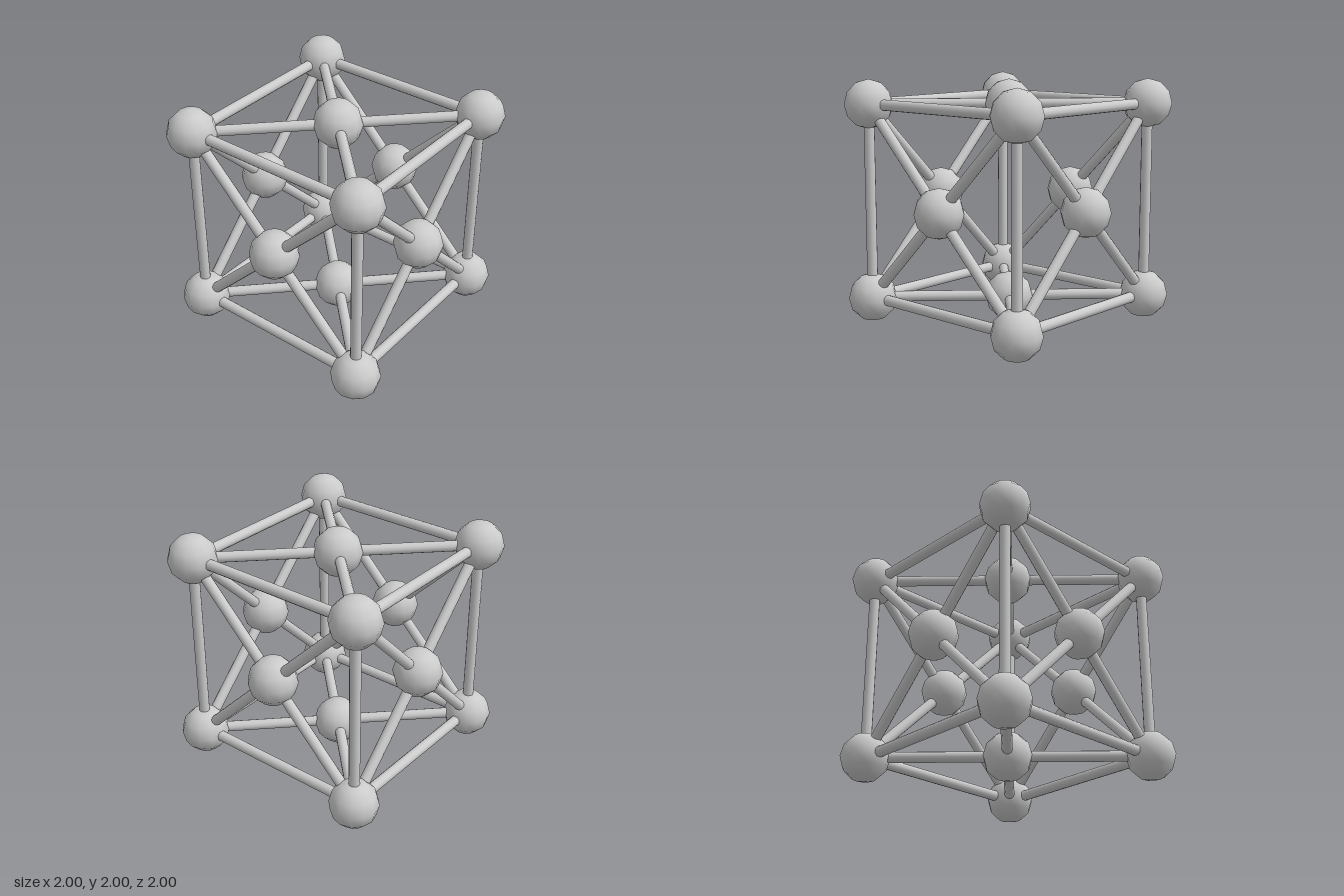
import * as THREE from 'three';

const HALF = 0.8;         // half the lattice cube edge
const BALL_RADIUS = 0.2;
const ROD_RADIUS = 0.044;

export function createModel() {
  const model = new THREE.Group();
  model.name = 'faceCentredLattice';
  const material = new THREE.MeshStandardMaterial({ color: 0xcccccc });
  const ballGeometry = new THREE.SphereGeometry(BALL_RADIUS, 12, 6);
  const up = new THREE.Vector3(0, 1, 0);

  function addBall(name, position) {
    const ball = new THREE.Mesh(ballGeometry, material);
    ball.name = name;
    ball.position.copy(position);
    model.add(ball);
  }

  // Rod between the centres of two balls
  function addRod(name, a, b) {
    const direction = b.clone().sub(a);
    const length = direction.length();
    const geometry = new THREE.CylinderGeometry(ROD_RADIUS, ROD_RADIUS, length, 12, 1, true);
    const rod = new THREE.Mesh(geometry, material);
    rod.name = name;
    rod.position.copy(a).add(b).multiplyScalar(0.5);
    rod.quaternion.setFromUnitVectors(up, direction.normalize());
    model.add(rod);
  }

  // Lattice points: eight corners and six face centres
  const corners = [];
  for (const x of [-HALF, HALF])
    for (const y of [-HALF, HALF])
      for (const z of [-HALF, HALF]) corners.push(new THREE.Vector3(x, y, z));

  const faces = [];
  for (const axis of ['x', 'y', 'z'])
    for (const side of [-HALF, HALF]) {
      const centre = new THREE.Vector3();
      centre[axis] = side;
      faces.push({ axis, side, centre });
    }

  corners.forEach((corner) => addBall('cornerBall', corner));
  faces.forEach(({ centre }) => addBall('faceBall', centre));

  // Twelve cube edges
  corners.forEach((a, i) => {
    for (const b of corners.slice(i + 1))
      if (a.distanceTo(b) < 2 * HALF + 0.01) addRod('edgeRod', a, b);
  });

  // Four diagonal rods on each face, from its centre to its corners
  for (const { axis, side, centre } of faces)
    for (const corner of corners)
      if (corner[axis] === side) addRod('diagonalRod', centre, corner);

  // Stand the lattice on the ground
  model.children.forEach((part) => { part.position.y += HALF + BALL_RADIUS; });
  return model;
}
